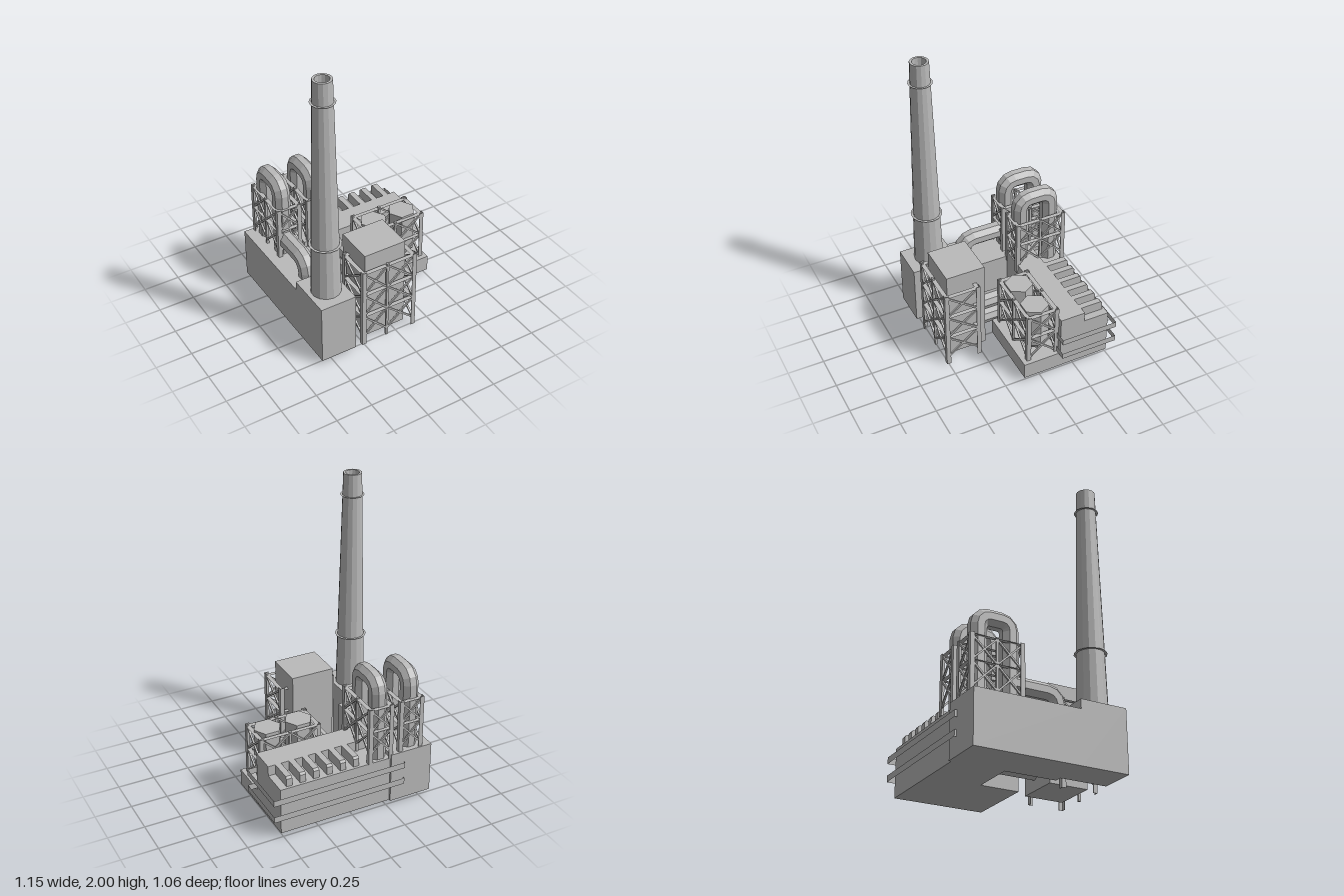
import * as THREE from 'three';

const grey = new THREE.MeshStandardMaterial({ color: 0xbababa, side: THREE.DoubleSide, flatShading: true });
grey.name = 'concrete grey';

function add(parent, name, geometry) {
  const mesh = new THREE.Mesh(geometry, grey);
  mesh.name = name;
  parent.add(mesh);
  return mesh;
}

// Box given by its limits
function block(parent, name, x0, x1, y0, y1, z0, z1) {
  const m = add(parent, name, new THREE.BoxGeometry(x1 - x0, y1 - y0, z1 - z0));
  m.position.set((x0 + x1) / 2, (y0 + y1) / 2, (z0 + z1) / 2);
  return m;
}

// Thin diagonal bar between two points
function bar(parent, a, b) {
  const m = add(parent, 'brace', new THREE.BoxGeometry(0.012, 0.012, a.distanceTo(b)));
  m.position.copy(a).add(b).multiplyScalar(0.5);
  m.lookAt(b);
}

// Flat horizontal walkway frame
function deck(parent, x0, x1, z0, z1, y, wx, wz) {
  const rect = (T, a, b, c, d) => new T([[a, c], [b, c], [b, d], [a, d]].map(p => new THREE.Vector2(...p)));
  const s = rect(THREE.Shape, x0, x1, z0, z1);
  s.holes.push(rect(THREE.Path, x0 + wx, x1 - wx, z0 + wz, z1 - wz));
  const g = new THREE.ShapeGeometry(s).rotateX(Math.PI / 2);
  add(parent, 'walkway', g).position.y = y;
}

// Scaffold: angle posts, walkways and cross braces; levels run from bottom to top
function scaffold(name, x0, x1, z0, z1, foot, top, levels, nx, nz, skipBack = false) {
  const g = new THREE.Group();
  g.name = name;
  const w = 0.03, t = 0.004;
  for (const x of [x0, x1]) for (const z of [z0, z1]) {
    const sx = x === x0 ? 1 : -1, sz = z === z0 ? 1 : -1;
    const span = (a, s, d) => [Math.min(a, a + s * d), Math.max(a, a + s * d)];
    block(g, 'post', ...span(x, sx, w), foot, top, ...span(z, sz, t));
    block(g, 'post', ...span(x, sx, t), foot, top, ...span(z, sz, w));
  }
  levels.slice(1).forEach(y => deck(g, x0, x1, z0, z1, y, w, w));
  const faces = [
    [x0, z1, x1, z1, nx], [x0, z0, x0, z1, nz], [x1, z0, x1, z1, nz],
  ];
  if (!skipBack) faces.push([x0, z0, x1, z0, nx]);
  const cx = (x0 + x1) / 2, cz = (z0 + z1) / 2;
  for (const [ax, az, bx, bz, n] of faces) {
    const at = (k, y) => {
      const x = ax + (bx - ax) * k / n, z = az + (bz - az) * k / n;
      return new THREE.Vector3(x + Math.sign(cx - x) * 0.012, y, z + Math.sign(cz - z) * 0.012);
    };
    for (let k = 0; k < n; k++) {
      if (k > 0) {
        const p = at(k, 0);
        block(g, 'middlePost', p.x - 0.008, p.x + 0.008, foot, top, p.z - 0.008, p.z + 0.008);
      }
      for (let i = 0; i + 1 < levels.length; i++) {
        bar(g, at(k, levels[i]), at(k + 1, levels[i + 1]));
        bar(g, at(k, levels[i + 1]), at(k + 1, levels[i]));
      }
    }
  }
  return g;
}

// Octagonal pipe swept along a path of [z, y] points at fixed x
function pipe(parent, name, x, path, apothem) {
  const R = apothem / Math.cos(Math.PI / 8), pos = [], idx = [];
  const P = path.map(p => new THREE.Vector2(...p));
  P.forEach((p, i) => {
    const d0 = P[Math.max(i, 1)].clone().sub(P[Math.max(i, 1) - 1]).normalize();
    const j = Math.min(i, P.length - 2);
    const d1 = P[j + 1].clone().sub(P[j]).normalize();
    const d = d0.clone().add(d1).normalize();
    const miter = 1 / d.dot(d0);
    for (let k = 0; k < 8; k++) {
      const a = (k + 0.5) * Math.PI / 4, u = R * Math.sin(a) * miter;
      pos.push(x + R * Math.cos(a), p.y + d.x * u, p.x - d.y * u);
      if (i > 0) {
        const b = i * 8, k2 = (k + 1) % 8;
        idx.push(b - 8 + k, b - 8 + k2, b + k, b + k, b - 8 + k2, b + k2);
      }
    }
  });
  const g = new THREE.BufferGeometry();
  g.setAttribute('position', new THREE.Float32BufferAttribute(pos, 3));
  g.setIndex(idx);
  g.computeVertexNormals();
  add(parent, name, g);
}

// Points of a rounded elbow around [z, y] centre
function elbow(z, y, r, from, to, n = 3) {
  return Array.from({ length: n + 1 }, (_, i) => {
    const a = (from + (to - from) * i / n) * Math.PI / 180;
    return [z + r * Math.cos(a), y + r * Math.sin(a)];
  });
}

export function createModel() {
  const model = new THREE.Group();
  model.name = 'powerPlant';

  // Buildings
  block(model, 'sideBuilding', -0.577, -0.275, 0.03, 0.39, -0.515, 0.207);
  block(model, 'chimneyBase', -0.577, -0.327, 0.03, 0.455, 0.207, 0.532);
  block(model, 'mainHall', -0.312, 0.515, 0.03, 0.43, -0.322, -0.147);
  block(model, 'rearHall', -0.275, 0.515, 0.03, 0.36, -0.5, -0.322);
  block(model, 'tankSlab', 0.023, 0.516, 0.03, 0.145, -0.147, 0.118);
  block(model, 'boilerTower', -0.22, 0.082, 0.03, 0.69, 0.197, 0.468);

  // Roof ribs on the rear hall, bevelled at the back
  const rib = new THREE.Shape([[0.322, 0.35], [0.482, 0.35], [0.482, 0.415], [0.47, 0.43], [0.322, 0.43]]
    .map(p => new THREE.Vector2(...p)));
  for (let i = 0; i < 6; i++) {
    const g = new THREE.ExtrudeGeometry(rib, { depth: 0.04, bevelEnabled: false }).rotateY(Math.PI / 2);
    add(model, 'roofRib', g).position.x = -0.052 + i * 0.0953;
  }

  // Open strips running round the hall
  for (const y of [0.17, 0.292]) {
    const x0 = -0.37, x1 = 0.575, z0 = -0.53, z1 = -0.132, h = 0.044;
    for (const z of [z0, z1]) {
      const left = z === z0 ? x0 : 0.45;
      add(model, 'wallStrip', new THREE.PlaneGeometry(x1 - left, h)).position.set((left + x1) / 2, y, z);
    }
    for (const x of [x0, x1]) {
      const m = add(model, 'wallStrip', new THREE.PlaneGeometry(z1 - z0, h).rotateY(Math.PI / 2));
      m.position.set(x, y, (z0 + z1) / 2);
    }
  }

  // Chimney with hollow top and two flat rings
  const chimney = new THREE.Group();
  chimney.name = 'chimney';
  chimney.position.set(-0.45, 0, 0.37);
  const profile = [[0.1, 0.45], [0.062, 2], [0.046, 2], [0.046, 1.94], [0, 1.94]].map(p => new THREE.Vector2(...p));
  add(chimney, 'stack', new THREE.LatheGeometry(profile, 14));
  for (const [y, r, R] of [[0.83, 0.085, 0.107], [1.85, 0.06, 0.08]]) {
    add(chimney, 'chimneyRing', new THREE.RingGeometry(r, R, 14).rotateX(-Math.PI / 2)).position.y = y;
  }
  model.add(chimney);

  // Hexagonal tanks with tapered bottoms
  for (const x of [0.152, 0.377]) {
    const p = [[0, 0.185], [0.065, 0.185], [0.095, 0.225], [0.095, 0.52], [0, 0.52]].map(q => new THREE.Vector2(...q));
    const tank = add(model, 'tank', new THREE.LatheGeometry(p, 6).rotateY(Math.PI / 6 * 3));
    tank.position.set(x, 0, -0.02);
  }

  // Twin ducts between tower and hall
  for (const y of [0.283, 0.155]) {
    const duct = add(model, 'duct', new THREE.CylinderGeometry(0.0565, 0.0565, 0.36, 8).rotateX(Math.PI / 2));
    duct.position.set(-0.036, y, 0.025);
  }

  // Pipe arches and the low elbow pipe
  for (const x of [-0.211, -0.442]) {
    const r = 0.065, y = 0.905, zf = -0.21, zb = -0.427;
    pipe(model, 'pipeArch', x, [
      [zf, 0.35], ...elbow(zf - r, y - r, r, 0, 90), ...elbow(zb + r, y - r, r, 90, 180), [zb, 0.35],
    ], 0.055);
  }
  pipe(model, 'lowPipe', -0.442, [[0.117, 0.36], ...elbow(0.037, 0.427, 0.08, 0, 90), [-0.21, 0.507]], 0.055);

  // Scaffolds
  model.add(scaffold('towerScaffold', -0.263, 0.146, 0.257, 0.512, 0, 0.595, [0.055, 0.23, 0.405, 0.58], 2, 1, true));
  model.add(scaffold('tankScaffold', 0.045, 0.488, -0.144, 0.087, 0.145, 0.515, [0.15, 0.33, 0.505], 2, 1));
  for (const x of [-0.29, -0.512]) {
    model.add(scaffold('pipeScaffold', x, x + 0.178, -0.506, -0.138, 0.36, 0.765, [0.42, 0.59, 0.755], 1, 2));
  }
  return model;
}
